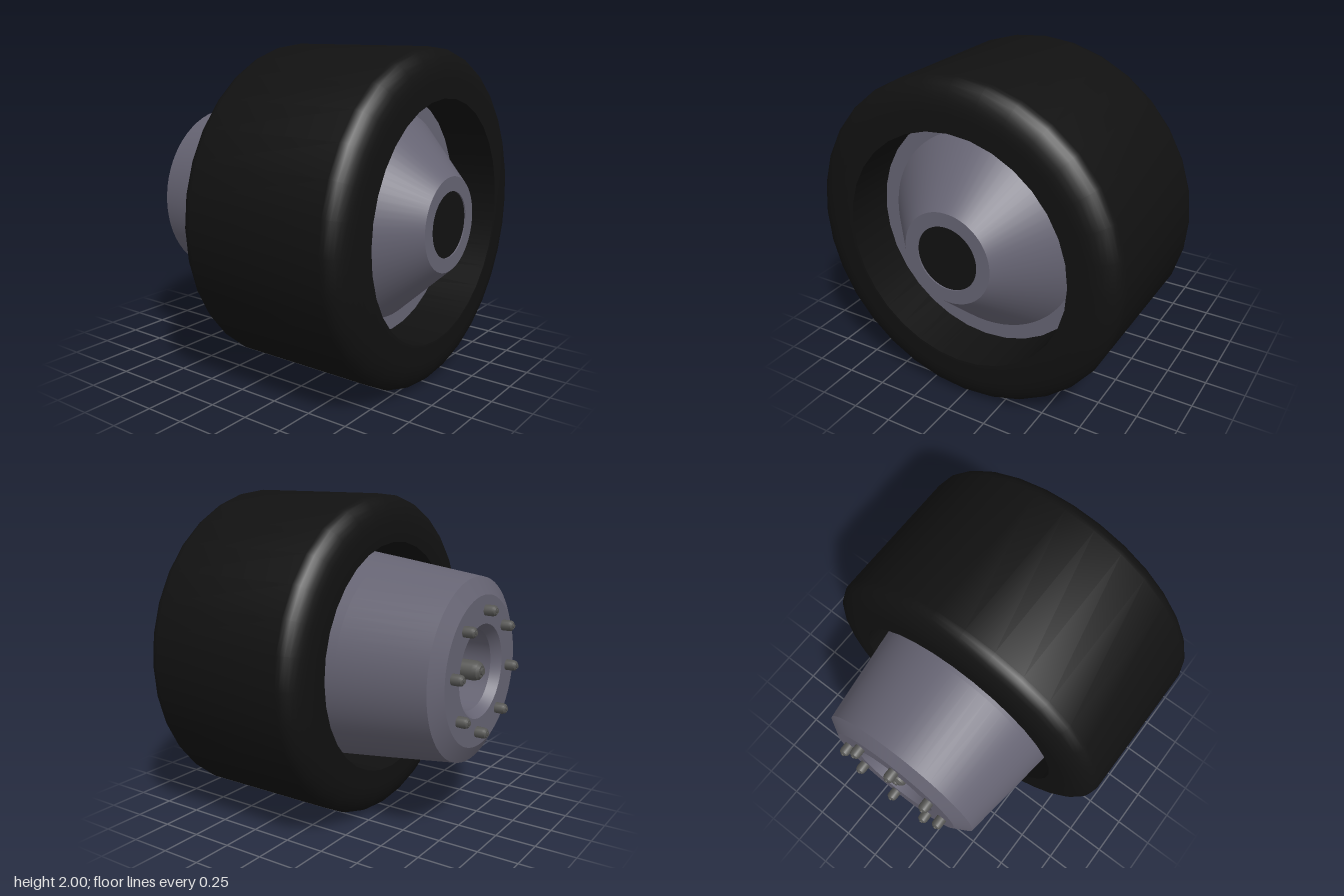
import * as THREE from 'three';
import { toCreasedNormals } from 'three/addons/utils/BufferGeometryUtils.js';

const rubber = new THREE.MeshStandardMaterial({ color: 0x111111 });
const alloy = new THREE.MeshStandardMaterial({ color: 0x666473 });
const steel = new THREE.MeshStandardMaterial({ color: 0x555553 });

// Revolves [radius, z] points around the z axis; listed from back to front on the outside
function turned(name, points, sides, material, crease = 0.5) {
  const profile = points.map(([r, z]) => new THREE.Vector2(r, z));
  const geometry = new THREE.LatheGeometry(profile, sides).rotateX(Math.PI / 2);
  const mesh = new THREE.Mesh(toCreasedNormals(geometry, crease), material);
  mesh.name = name;
  return mesh;
}

// Round stud pointing backwards from z = 0, with a bevelled tip and a small nipple
function stud(name, radius, length) {
  const nipple = radius * 0.35, z = -length;
  return turned(name, [
    [0, z], [nipple, z], [nipple, z + radius * 0.2], [radius * 0.6, z + radius * 0.2],
    [radius * 0.88, z + radius * 0.45], [radius, z + radius * 0.9], [radius, 0],
  ], 16, steel);
}

export function createModel() {
  const model = new THREE.Group();
  model.name = 'wheel';
  const wheel = new THREE.Group();
  wheel.name = 'wheelAssembly';
  wheel.position.y = 1;
  model.add(wheel);

  // Tire: straight bore, flat sidewalls and elliptical shoulders
  const back = -0.26, front = 0.88, bore = 0.715;
  const tire = [[bore, front], [bore, back]];
  const steps = 8;
  for (let i = 0; i <= steps; i++) {
    const a = (i / steps) * Math.PI / 2;
    tire.push([0.8 + 0.2 * Math.sin(a), back + 0.12 * (1 - Math.cos(a))]);
  }
  for (let i = 0; i <= steps; i++) {
    const a = (i / steps) * Math.PI / 2;
    tire.push([0.8 + 0.2 * Math.cos(a), front - 0.12 * (1 - Math.sin(a))]);
  }
  tire.push([bore, front]);
  wheel.add(turned('tire', tire, 32, rubber));

  // Hub: recessed back, tapered drum, front plate and front cone
  wheel.add(turned('hub', [
    [0, -0.58], [0.24, -0.58], [0.24, -0.81], [0.28, -0.865],
    [0.45, -0.865], [0.55, -0.81], [0.62, -0.26], [0.72, 0.57],
    [0.62, 0.57], [0.28, 0.94], [0.195, 0.94], [0.195, 0.92],
  ], 64, alloy, 0.3));

  // Dark disc filling the front opening
  const cap = new THREE.Mesh(new THREE.CircleGeometry(0.197, 48), rubber);
  cap.name = 'centerCap';
  cap.position.z = 0.932;
  wheel.add(cap);

  // Axle pin in the back recess
  const pin = stud('axlePin', 0.06, 0.31);
  pin.position.z = -0.57;
  wheel.add(pin);

  // Ring of eight studs on the back face
  const studs = new THREE.Group();
  studs.name = 'backStuds';
  for (let i = 0; i < 8; i++) {
    const a = THREE.MathUtils.degToRad(5.5 + 45 * i);
    const bolt = stud('stud', 0.033, 0.08);
    bolt.position.set(0.36 * Math.cos(a), 0.36 * Math.sin(a), -0.86);
    studs.add(bolt);
  }
  wheel.add(studs);

  return model;
}
